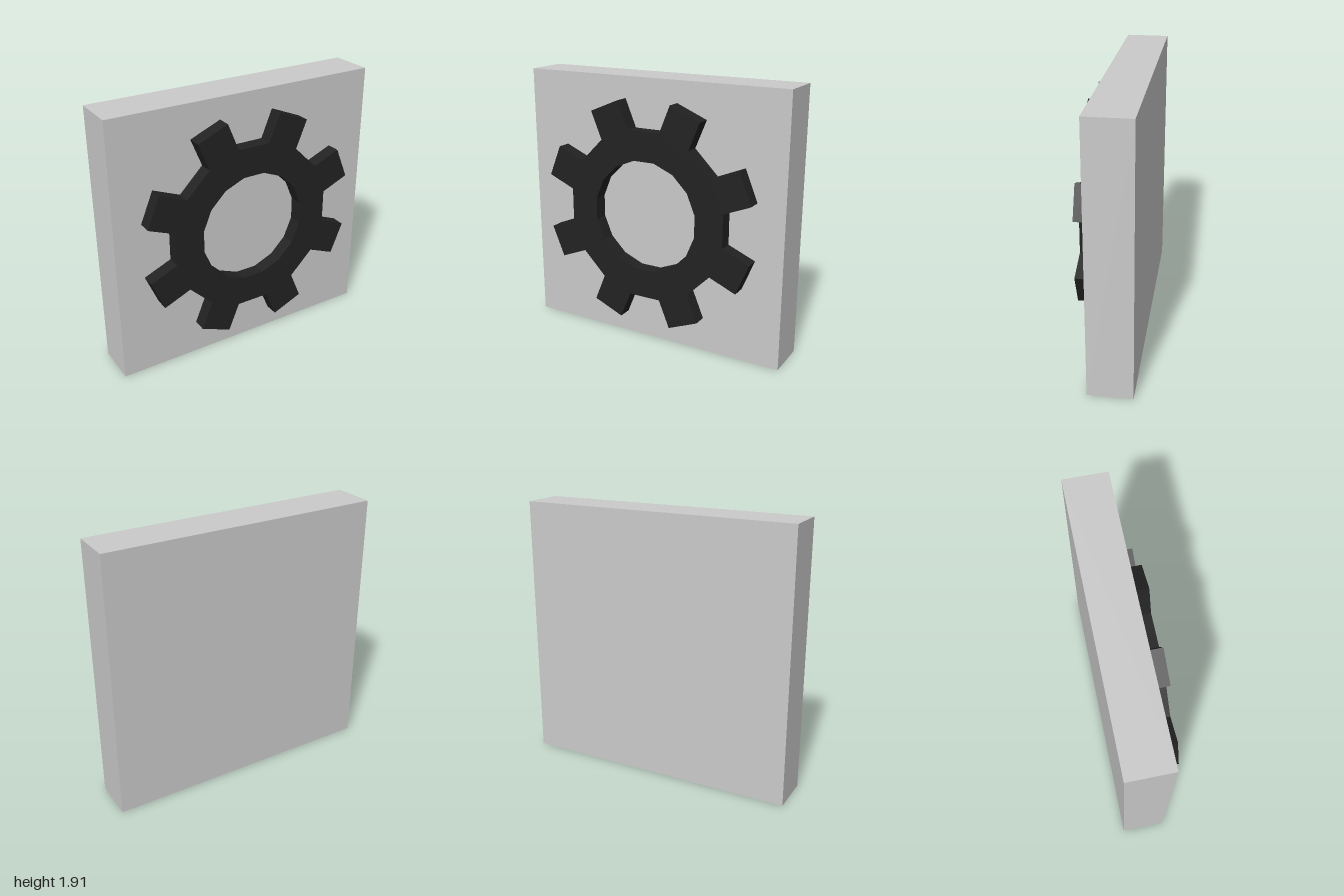
import * as THREE from 'three';

export function createModel() {
  const model = new THREE.Group();
  const panelGrey = new THREE.MeshStandardMaterial({ name: 'panelGrey', color: 0xcacaca });
  const gearBlack = new THREE.MeshStandardMaterial({ name: 'gearBlack', color: 0x222222 });

  const centreY = 0.957;
  const panelFront = 0.105;

  // square backing panel
  const panel = new THREE.Mesh(new THREE.BoxGeometry(2, 1.914, 0.31), panelGrey);
  panel.name = 'panel';
  panel.position.set(0, centreY, panelFront - 0.155);
  model.add(panel);

  // gear outline: eight straight-sided teeth with flat valleys between them
  const teeth = 8, halfWidth = 0.12, rootDist = 0.605, tipDist = 0.818;
  const outline = [];
  for (let i = 0; i < teeth; i++) {
    const axis = (i + 0.5) * 2 * Math.PI / teeth;
    const corners = [[rootDist, -halfWidth], [tipDist, -halfWidth], [tipDist, halfWidth], [rootDist, halfWidth]];
    for (const [r, w] of corners) {
      outline.push(new THREE.Vector2(r, w).rotateAround(new THREE.Vector2(), axis));
    }
  }
  const shape = new THREE.Shape(outline);

  // sixteen-sided central hole
  const sides = 16, holeRadius = 0.403;
  const hole = [];
  for (let i = 0; i < sides; i++) {
    const a = -(i + 0.5) * 2 * Math.PI / sides;
    hole.push(new THREE.Vector2(holeRadius * Math.cos(a), holeRadius * Math.sin(a)));
  }
  shape.holes.push(new THREE.Path(hole));

  // raised gear on the front of the panel
  const gear = new THREE.Mesh(
    new THREE.ExtrudeGeometry(shape, { depth: 0.1, bevelEnabled: false }), gearBlack);
  gear.name = 'gear';
  gear.position.set(0, centreY + 0.003, panelFront);
  model.add(gear);

  return model;
}
